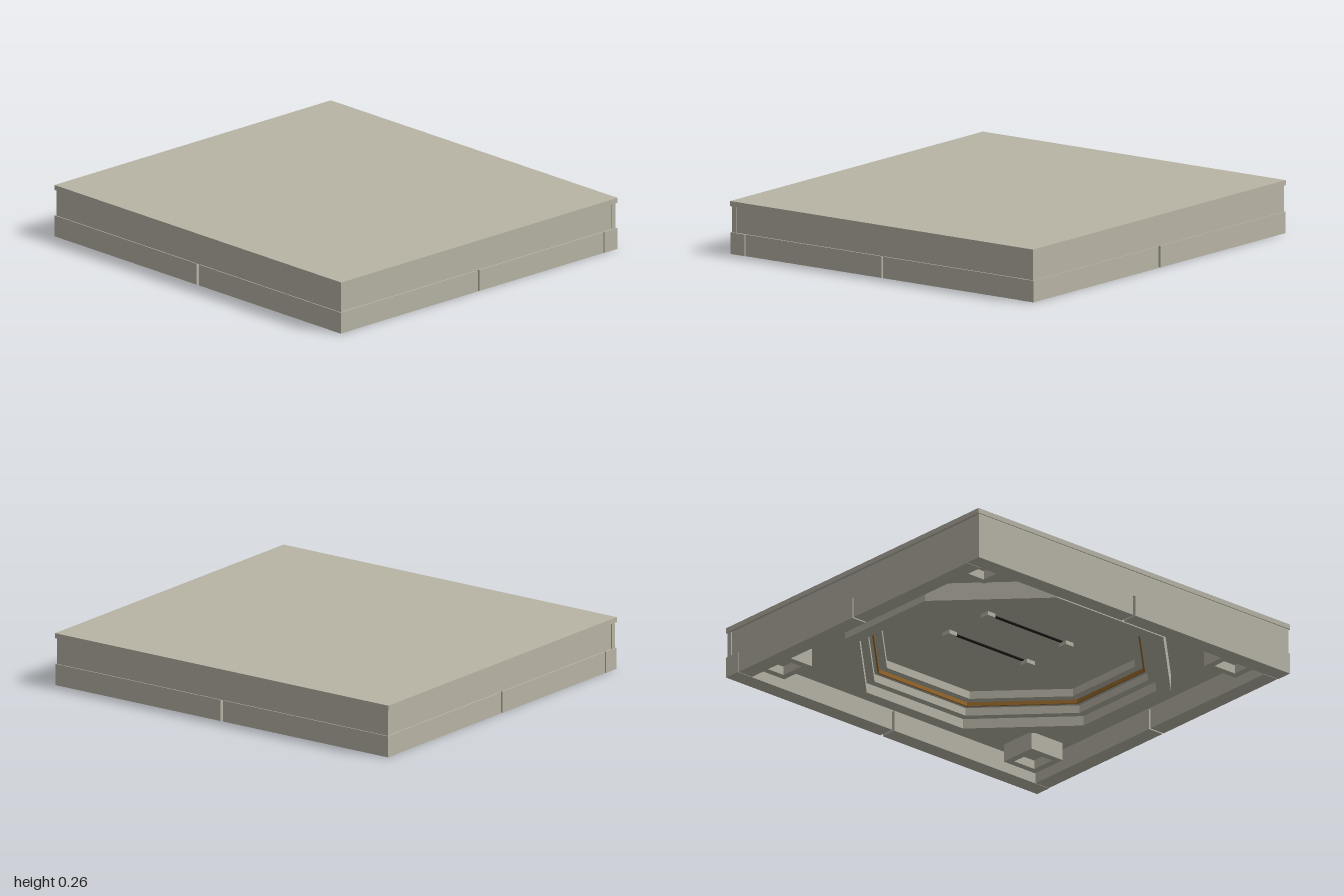
import * as THREE from 'three';

export function createModel() {
  const model = new THREE.Group();
  const stone = new THREE.MeshStandardMaterial({ color: 0xb8b5a6 });
  const dark = new THREE.MeshStandardMaterial({ color: 0x24231f });
  const amber = new THREE.MeshStandardMaterial({ color: 0x9a6a2c });

  const add = (name, geometry, material = stone) => {
    const mesh = new THREE.Mesh(geometry, material);
    mesh.name = name;
    model.add(mesh);
    return mesh;
  };
  // Box given by its centre in plan, its plan size and its bottom and top heights
  const box = (name, x, z, w, d, y0, y1, material) =>
    add(name, new THREE.BoxGeometry(w, y1 - y0, d), material).position.set(x, (y0 + y1) / 2, z);

  const octagon = (s) => [
    [0.74, 0.34], [0.29, 0.79], [-0.29, 0.79], [-0.74, 0.34],
    [-0.74, -0.34], [-0.29, -0.79], [0.29, -0.79], [0.74, -0.34],
  ].map(([x, y]) => new THREE.Vector2(x * s, y * s));
  const rectangle = (w, d) => [[1, 1], [-1, 1], [-1, -1], [1, -1]]
    .map(([x, y]) => new THREE.Vector2(x * w, y * d));
  // Horizontal plate with a hole, between two heights
  const plate = (name, outline, hole, y0, y1, material) => {
    const shape = new THREE.Shape(outline);
    shape.holes.push(new THREE.Path(hole));
    const geometry = new THREE.ExtrudeGeometry(shape, { depth: y1 - y0, bevelEnabled: false });
    geometry.rotateX(-Math.PI / 2).translate(0, y0, 0);
    add(name, geometry, material);
  };

  // Top slab and the deck beneath it
  box('topSlab', 0, 0, 1.83, 2, 0.235, 0.26);
  box('deck', 0, 0, 1.77, 1.96, 0.2, 0.235);

  // Underside: surround plate and stepped octagonal well
  plate('undersidePlate', rectangle(0.885, 0.975), octagon(0.84), 0.14, 0.2);
  plate('wellRim', octagon(1), octagon(0.91), 0.05, 0.1);
  plate('wellStep', octagon(1), octagon(0.86), 0.1, 0.14);
  plate('wellTrim', octagon(0.84), octagon(0.83), 0.14, 0.16, amber);
  plate('wellLining', octagon(0.84), octagon(0.78), 0.16, 0.2);

  for (const s of [-1, 1]) {
    // Upper walls
    box('sideWall', s * 0.8975, 0, 0.025, 1.985, 0.105, 0.235);
    box('endWall', 0, s * 0.97, 1.77, 0.035, 0.105, 0.235);

    // Slots in the well ceiling
    box('slot', s * 0.14, 0, 0.018, 0.44, 0.196, 0.202, dark);

    for (const t of [-1, 1]) {
      // Base skirt, split at the middle of each side
      box('sideSkirt', s * 0.8725, t * 0.503, 0.085, 0.99, 0, 0.106);
      box('endSkirt', s * 0.416, t * 0.9525, 0.822, 0.085, 0, 0.106);

      // Blocks at the ends of the slots
      box('slotBlock', s * 0.14, t * 0.25, 0.05, 0.05, 0.18, 0.2);

      // Corner foot: square collar, dark socket and inner block
      const foot = new THREE.Group();
      foot.name = 'cornerFoot';
      foot.position.set(s * 0.725, 0, t * 0.805);
      const shape = new THREE.Shape(rectangle(0.1, 0.1));
      shape.holes.push(new THREE.Path(rectangle(0.065, 0.065)));
      const collar = new THREE.ExtrudeGeometry(shape, { depth: 0.09, bevelEnabled: false });
      collar.rotateX(-Math.PI / 2).translate(0, 0.05, 0);
      const socket = new THREE.BoxGeometry(0.13, 0.01, 0.13).translate(0, 0.135, 0);
      const block = new THREE.BoxGeometry(0.07, 0.055, 0.07).translate(0, 0.1025, 0);
      [['collar', collar, stone], ['socket', socket, dark], ['block', block, stone]].forEach(([name, g, m]) => {
        const part = new THREE.Mesh(g, m);
        part.name = name;
        foot.add(part);
      });
      model.add(foot);
    }
  }
  return model;
}
